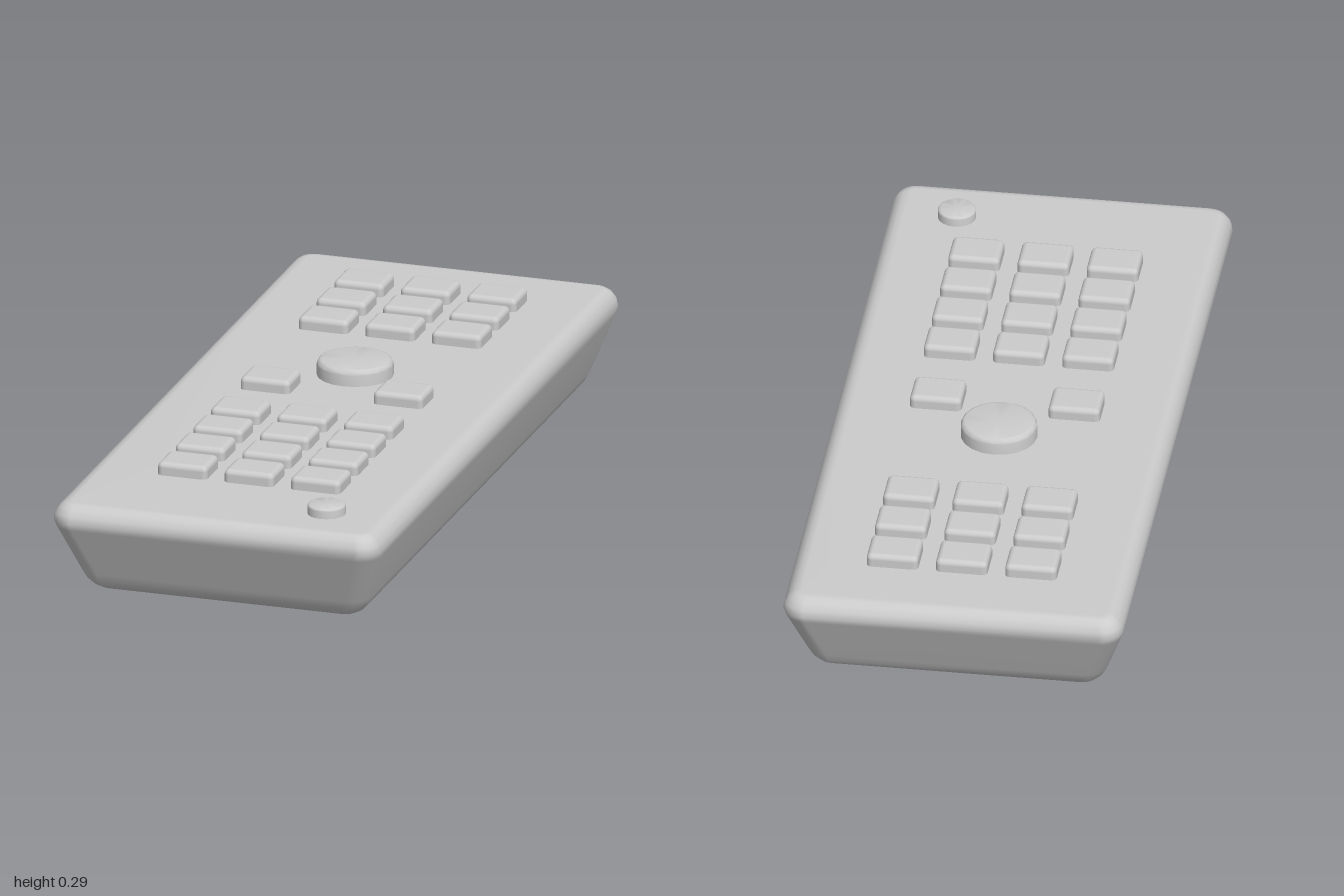
import * as THREE from 'three';
import { RoundedBoxGeometry } from 'three/addons/geometries/RoundedBoxGeometry.js';
import { toCreasedNormals } from 'three/addons/utils/BufferGeometryUtils.js';

const material = new THREE.MeshStandardMaterial({ color: 0xcccccc });

function addMesh(parent, name, geometry, x = 0, y = 0, z = 0) {
  const mesh = new THREE.Mesh(geometry, material);
  mesh.name = name;
  mesh.position.set(x, y, z);
  parent.add(mesh);
  return mesh;
}

// Tapered casing: rounded rectangles stacked from bottom to top
function casingGeometry() {
  // height, half width, half length, corner radius
  const rings = [
    [0, 0.312, 0.865, 0.012],
    [0.003, 0.331, 0.882, 0.025],
    [0.014, 0.352, 0.9, 0.04],
    [0.03, 0.367, 0.915, 0.05],
    [0.052, 0.378, 0.926, 0.055],
    [0.185, 0.423, 0.992, 0.055],
    [0.203, 0.427, 1, 0.055],
    [0.222, 0.423, 0.997, 0.052],
    [0.238, 0.412, 0.986, 0.043],
    [0.247, 0.399, 0.973, 0.032],
    [0.25, 0.383, 0.957, 0.018],
  ];
  const steps = 6;
  const count = 4 * (steps + 1);
  const positions = [];
  const index = [];
  for (const [y, hx, hz, r] of rings) {
    for (let corner = 0; corner < 4; corner++) {
      const sx = corner === 0 || corner === 3 ? 1 : -1;
      const sz = corner < 2 ? 1 : -1;
      for (let i = 0; i <= steps; i++) {
        const a = (corner + i / steps) * Math.PI / 2;
        positions.push(sx * (hx - r) + r * Math.cos(a), y, sz * (hz - r) + r * Math.sin(a));
      }
    }
  }
  for (let k = 0; k < rings.length - 1; k++) {
    for (let i = 0; i < count; i++) {
      const a = k * count + i;
      const b = k * count + (i + 1) % count;
      index.push(a, a + count, b, b, a + count, b + count);
    }
  }
  // Flat bottom and top
  const bottom = positions.length / 3;
  const last = (rings.length - 1) * count;
  positions.push(0, 0, 0, 0, 0.25, 0);
  for (let i = 0; i < count; i++) {
    const j = (i + 1) % count;
    index.push(bottom, i, j, bottom + 1, last + j, last + i);
  }
  const geometry = new THREE.BufferGeometry();
  geometry.setAttribute('position', new THREE.Float32BufferAttribute(positions, 3));
  geometry.setIndex(index);
  geometry.computeVertexNormals();
  return geometry;
}

// Round button with a softened rim
function roundButtonGeometry(radius, height, bevel) {
  const profile = [new THREE.Vector2(0, -0.02), new THREE.Vector2(radius, -0.02)];
  for (let i = 0; i <= 4; i++) {
    const a = i / 4 * Math.PI / 2;
    profile.push(new THREE.Vector2(
      radius - bevel + bevel * Math.cos(a), height - bevel + bevel * Math.sin(a)));
  }
  profile.push(new THREE.Vector2(0, height));
  return toCreasedNormals(new THREE.LatheGeometry(profile, 20), 0.6);
}

export function createModel() {
  const model = new THREE.Group();
  model.name = 'remoteControl';
  addMesh(model, 'casing', casingGeometry());

  // Rectangular keys, in rows along the length
  const keys = new THREE.Group();
  keys.name = 'keys';
  model.add(keys);
  const keyGeometry = new RoundedBoxGeometry(0.13, 0.066, 0.105, 3, 0.014);
  const columns = [-0.174, 0, 0.174];
  const rows = [-0.759, -0.617, -0.476, -0.01, 0.229, 0.37, 0.511, 0.652];
  rows.forEach((z, row) => {
    columns.forEach((x) => {
      if (row === 3 && x === 0) return; // the dial sits here
      addMesh(keys, 'key', keyGeometry, x, 0.25, z);
    });
  });

  // Central dial and small round button
  addMesh(model, 'dial', roundButtonGeometry(0.096, 0.042, 0.014), 0, 0.25, -0.154);
  addMesh(model, 'smallRoundButton', roundButtonGeometry(0.048, 0.026, 0.007), 0.25, 0.25, 0.84);
  return model;
}
